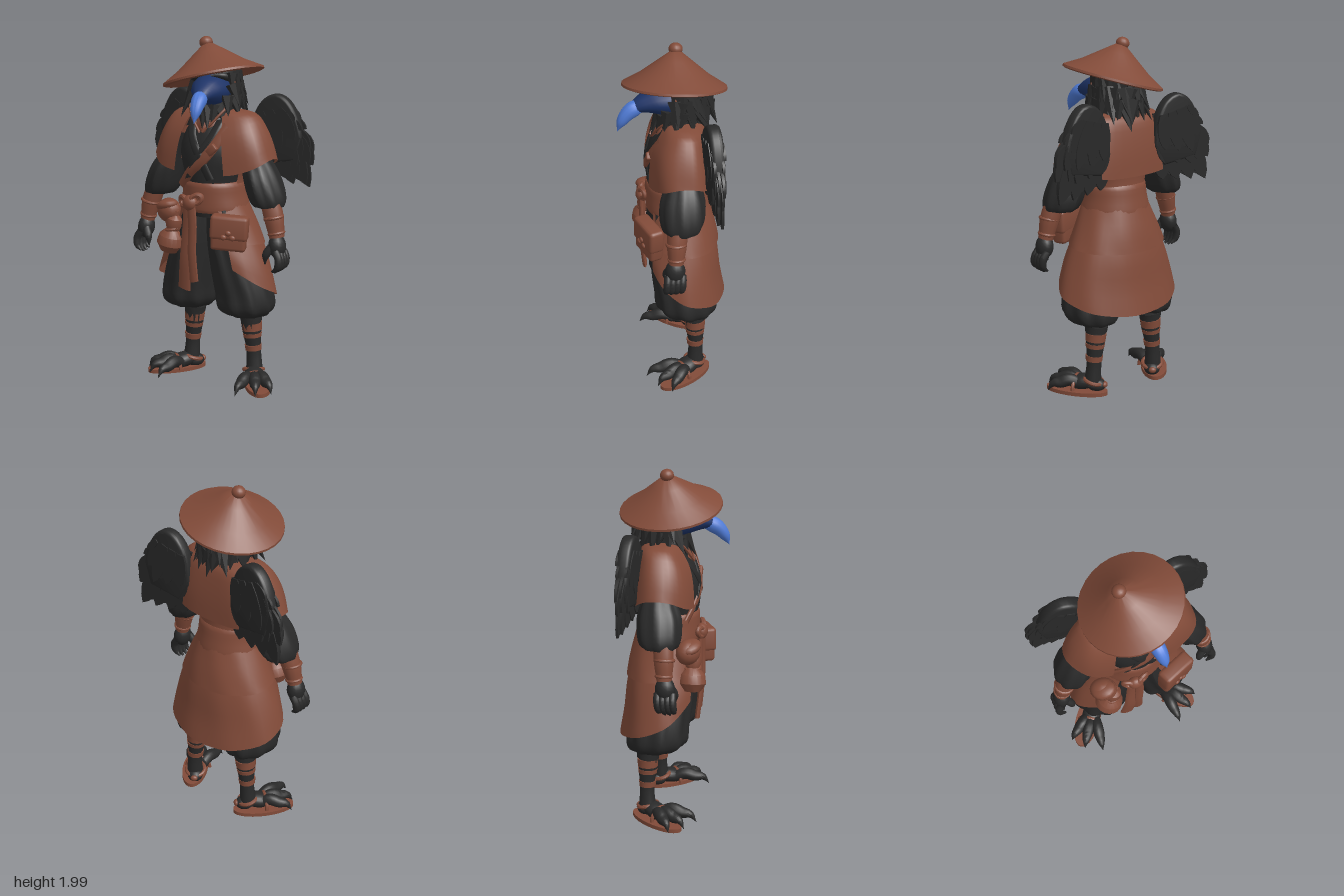
import * as THREE from 'three';
import { toCreasedNormals } from 'three/addons/utils/BufferGeometryUtils.js';
import { RoundedBoxGeometry } from 'three/addons/geometries/RoundedBoxGeometry.js';
import { ParametricGeometry } from 'three/addons/geometries/ParametricGeometry.js';

const flat = (name, color) => {
  const m = new THREE.MeshStandardMaterial({ color, side: THREE.DoubleSide });
  m.name = name;
  return m;
};
const V = (p) => new THREE.Vector3(...p);

// Smooth interpolation along a list of number rows
function sample(S, t) {
  const n = S.length - 1, i = Math.min(n - 1, Math.floor(t * n)), f = t * n - i;
  return S[i].map((b, k) => {
    const a = S[Math.max(i - 1, 0)][k], c = S[i + 1][k], d = S[Math.min(i + 2, n)][k];
    return 0.5 * (2 * b + (c - a) * f + (2 * a - 5 * b + 4 * c - d) * f * f + (3 * b - a - 3 * c + d) * f * f * f);
  });
}

// Upright skin through rows [y, cx, cz, rx, rzFront, rzBack], bottom to top; angle 0 is the front
function loft(S, { open = 0, hem = () => 0, ripple = 0, folds = 9, segs = 36, power = 1 } = {}) {
  const round = (c) => Math.sign(c) * Math.abs(c) ** power;
  return new ParametricGeometry((u, v, p) => {
    const a = open + u * (Math.PI * 2 - open * 2);
    const [y, cx, cz, rx, rf, rb] = sample(S, v);
    const k = 1 + ripple * Math.sin(folds * a + v * 3);
    p.set(cx + round(Math.sin(a)) * rx * k, y + hem(a) * (1 - v), cz + round(Math.cos(a)) * (Math.cos(a) > 0 ? rf : rb) * k);
  }, segs, (S.length - 1) * 3);
}

// Round tube with changing radius
function taper(pts, radii, seg = 14, rad = 12) {
  const curve = new THREE.CatmullRomCurve3(pts.map(V));
  const g = new THREE.TubeGeometry(curve, seg, 1, rad), pos = g.attributes.position, p = new THREE.Vector3();
  for (let i = 0; i <= seg; i++) {
    const c = curve.getPointAt(i / seg), r = Math.max(0.001, sample(radii.map((x) => [x]), i / seg)[0]);
    for (let j = 0; j <= rad; j++) {
      const k = i * (rad + 1) + j;
      p.fromBufferAttribute(pos, k).sub(c).multiplyScalar(r).add(c);
      pos.setXYZ(k, p.x, p.y, p.z);
    }
  }
  return g;
}

// Cloth strip of oval section along a path, listed bottom to top
function strip(pts, w, thick) {
  const curve = new THREE.CatmullRomCurve3(pts.map(V)), wide = V(w);
  return new ParametricGeometry((u, v, p) => {
    const a = u * Math.PI * 2;
    p.copy(curve.getPoint(v)).addScaledVector(wide, Math.sin(a) / 2);
    p.z += Math.cos(a) * thick;
  }, 12, 12);
}

// Pointed feather hanging down from its root
function feather(w, L, depth = 0.014) {
  const s = new THREE.Shape();
  s.moveTo(-w * 0.3, 0);
  s.bezierCurveTo(-w * 0.75, -L * 0.4, -w * 0.6, -L * 0.85, 0, -L);
  s.bezierCurveTo(w * 0.6, -L * 0.8, w * 0.75, -L * 0.4, w * 0.3, 0);
  return new THREE.ExtrudeGeometry(s, { depth, bevelEnabled: false, curveSegments: 5 });
}

export function createModel() {
  const model = new THREE.Group();
  const brown = flat('brown cloth', 0x824b39), black = flat('black feather', 0x292929);
  const navy = flat('navy face', 0x1e3468), blue = flat('blue beak', 0x4f7bd6);
  const group = (name, pos = [0, 0, 0]) => {
    const g = new THREE.Group();
    g.name = name;
    g.position.set(...pos);
    model.add(g);
    return g;
  };
  const add = (name, geo, mat, pos = [0, 0, 0], rot = [0, 0, 0], scale = [1, 1, 1], parent = model) => {
    const m = new THREE.Mesh(toCreasedNormals(geo, 0.6), mat);
    m.name = name;
    m.position.set(...pos);
    m.rotation.set(...rot);
    m.scale.set(...scale);
    parent.add(m);
  };
  const into = (parent) => (name, geo, mat, pos, rot, scale) => add(name, geo, mat, pos, rot, scale, parent);
  const ball = () => new THREE.SphereGeometry(1, 16, 12);

  // Tilted straw hat
  const hat = group('hat', [0, 1.775, -0.01]);
  hat.rotation.set(-0.07, 0, 0.26);
  const brim = [[0.001, 0.165], [0.27, -0.012], [0.285, -0.006], [0.283, 0.006], [0.19, 0.06], [0.09, 0.135], [0.03, 0.18], [0.001, 0.185]];
  into(hat)('hatCone', new THREE.LatheGeometry(brim.map((p) => new THREE.Vector2(...p)), 30), brown);
  into(hat)('hatKnob', ball(), brown, [-0.008, 0.192, 0], [0, 0, 0], [0.038, 0.034, 0.038]);

  // Head, turned slightly to its left: broad navy face running into a short hooked beak
  const head = group('head', [0, 1.7, 0]);
  head.rotation.y = 0.25;
  const h = into(head);
  h('skull', ball(), black, [0, 0.03, -0.075], [0, 0, 0], [0.125, 0.12, 0.125]);
  h('face', taper([[0, 0.005, -0.03], [0, 0.005, 0.04], [0, 0.003, 0.115], [0, -0.012, 0.185], [0, -0.035, 0.23]], [0.104, 0.104, 0.086, 0.057, 0.03], 16, 14), navy, [0, 0, 0], [0, 0, 0], [1.05, 0.85, 1]);
  h('beak', taper([[0, -0.015, 0.165], [0, -0.025, 0.215], [0, -0.05, 0.255], [0, -0.09, 0.288], [0, -0.145, 0.315]], [0.03, 0.044, 0.039, 0.027, 0.001], 16, 14), blue, [0, 0, 0], [0, 0, 0], [0.95, 1, 1]);
  for (const s of [-1, 1]) {
    h('brow', taper([[s * 0.02, 0.09, 0.09], [s * 0.08, 0.085, 0.05], [s * 0.115, 0.06, -0.02]], [0.004, 0.02, 0.02]), black);
    add('chinCord', taper([[s * 0.13, 1.8, 0], [s * 0.145, 1.68, 0.0], [s * 0.09, 1.57, 0.08], [s * 0.01, 1.48, 0.12]], [0.007, 0.007, 0.007, 0.007], 12, 6), brown);
  }
  add('neck', loft([[1.45, 0, -0.03, 0.11, 0.1, 0.12], [1.56, 0, -0.02, 0.1, 0.09, 0.13], [1.68, 0, -0.03, 0.11, 0.09, 0.14]]), black);
  add('neckWrap', loft([[1.45, 0, -0.02, 0.1, 0.13, 0.1], [1.51, 0, -0.02, 0.095, 0.125, 0.1], [1.56, 0, -0.02, 0.085, 0.1, 0.1]], { ripple: 0.03 }), brown);

  // Ragged neck feathers in rings, thicker at the back
  const ruff = into(group('neckRuff'));
  [[1.78, 0.125, 1.45, 14], [1.72, 0.135, 1.4, 14], [1.66, 0.14, 1.1, 15], [1.61, 0.105, 0.1, 16]].forEach(([y, r, open, n], row) => {
    for (let i = 0; i < n; i++) {
      const a = open + (i / (n - 1)) * (Math.PI * 2 - open * 2), odd = ((i * 7 + row * 3) % 5) / 4;
      const L = 0.1 + 0.05 * odd, back = 1 + 0.3 * Math.max(0, -Math.cos(a));
      const g = new THREE.ConeGeometry(0.045, L, 6);
      g.rotateX(Math.PI).scale(1, 1, 0.6).translate(0, -L * 0.35, 0).rotateZ((odd - 0.5) * 0.5).rotateX(-0.2 - odd * 0.2).rotateY(a);
      ruff('ruffFeather', g, black, [Math.sin(a) * r, y, Math.cos(a) * r * back - 0.025]);
    }
  });

  // Torso, vest, shoulder cape
  add('shirt', loft([[1, 0, -0.03, 0.16, 0.15, 0.14], [1.17, 0, -0.03, 0.155, 0.17, 0.13], [1.35, 0, -0.03, 0.2, 0.18, 0.14], [1.48, 0, -0.04, 0.17, 0.15, 0.13], [1.59, 0, -0.03, 0.08, 0.07, 0.09]]), black);
  add('vestBack', loft([[1.05, 0, -0.03, 0.2, 0.16, 0.175], [1.2, 0, -0.03, 0.175, 0.16, 0.15], [1.35, 0, -0.03, 0.22, 0.17, 0.16], [1.48, 0, -0.03, 0.2, 0.14, 0.14]], { open: 1.3 }), brown);
  add('shoulderCape', loft([[1.25, 0, -0.03, 0.375, 0.185, 0.18], [1.36, 0, -0.03, 0.345, 0.18, 0.175], [1.47, 0, -0.035, 0.3, 0.16, 0.155], [1.56, 0, -0.04, 0.235, 0.11, 0.125], [1.6, 0, -0.03, 0.09, 0.06, 0.08]], { open: 0.36, hem: (a) => 0.09 * Math.abs(Math.sin(a)) ** 3, ripple: 0.012, folds: 7, power: 0.8 }), brown);
  for (const s of [-1, 1])
    add('lapel', strip([[-s * 0.07, 1.22, 0.135], [0, 1.36, 0.15], [s * 0.06, 1.46, 0.115], [s * 0.09, 1.55, 0.06]], [0.05, 0.015, 0], 0.008), black);
  add('chestStrap', strip([[-0.14, 1.16, 0.095], [-0.06, 1.25, 0.135], [0.03, 1.33, 0.148], [0.1, 1.42, 0.125], [0.15, 1.52, 0.075]], [0.045, -0.04, 0], 0.014), brown);
  add('strapBuckle', new RoundedBoxGeometry(0.07, 0.045, 0.03, 2, 0.01), brown, [0.085, 1.39, 0.14], [0, 0, 0.8]);

  // Belt and open skirt in two tiers
  add('belt', loft([[1.03, 0, -0.03, 0.198, 0.178, 0.178], [1.05, 0, -0.03, 0.2, 0.183, 0.18], [1.12, 0, -0.03, 0.185, 0.183, 0.168], [1.19, 0, -0.03, 0.176, 0.18, 0.157], [1.2, 0, -0.03, 0.15, 0.16, 0.14]]), brown);
  add('lowerSkirt', loft([[0.58, 0, -0.05, 0.375, 0.225, 0.25], [0.7, 0, -0.05, 0.342, 0.225, 0.222], [0.85, 0, -0.05, 0.285, 0.21, 0.2], [1.07, 0, -0.03, 0.185, 0.165, 0.155]], { open: 0.62, hem: (a) => 0.1 * Math.cos(a) + 0.12 * Math.max(0, Math.cos(a)) ** 3, ripple: 0.008 }), brown);
  add('upperSkirt', loft([[0.85, 0, -0.05, 0.295, 0.225, 0.21], [0.95, 0, -0.045, 0.25, 0.205, 0.195], [1.07, 0, -0.03, 0.195, 0.175, 0.175]], { open: 0.58, hem: (a) => 0.02 * Math.cos(a), ripple: 0.008 }), brown);

  // Knotted sash with hanging tails
  add('sashKnot', ball(), brown, [-0.04, 1.085, 0.17], [0, 0, 0.3], [0.045, 0.045, 0.035]);
  for (const s of [-1, 1])
    add('sashLoop', new THREE.TorusGeometry(0.026, 0.015, 8, 14), brown, [-0.04 + s * 0.04, 1.1 + s * 0.01, 0.17], [0, s * 0.4, s * 0.5], [1.2, 0.9, 1]);
  add('longTail', strip([[-0.09, 0.58, 0.155], [-0.07, 0.75, 0.17], [-0.055, 0.93, 0.165], [-0.045, 1.09, 0.165]], [0.08, -0.02, 0], 0.014), brown);
  add('shortTail', strip([[-0.02, 0.63, 0.16], [-0.025, 0.8, 0.175], [-0.02, 0.95, 0.175], [-0.03, 1.09, 0.175]], [0.055, 0.015, 0], 0.014), brown);

  // Satchel on the left hip
  const satchel = group('satchel', [0.205, 0.94, 0.15]);
  satchel.rotation.set(0, 0.4, -0.06);
  const bag = into(satchel);
  bag('satchelBody', new RoundedBoxGeometry(0.195, 0.19, 0.08, 2, 0.02), brown);
  bag('satchelFlap', new RoundedBoxGeometry(0.21, 0.135, 0.09, 2, 0.02), brown, [0, 0.035, 0.004]);
  [[-0.025, -0.005], [0.025, -0.005], [0, 0.02]].forEach(([x, y]) =>
    bag('toggleBead', ball(), brown, [x, y - 0.01, 0.05], [0, 0, 0], [0.017, 0.015, 0.01]));

  // Pouch and gourd on the right hip
  add('pouch', ball(), brown, [-0.215, 1.015, 0.12], [0, -0.4, 0.2], [0.078, 0.07, 0.065]);
  add('pouchFlap', ball(), brown, [-0.22, 1.045, 0.13], [0, -0.4, 0.3], [0.072, 0.035, 0.06]);
  const gourd = [[0.001, -0.07], [0.045, -0.062], [0.073, -0.02], [0.066, 0.025], [0.035, 0.06], [0.045, 0.09], [0.04, 0.12], [0.016, 0.14], [0.014, 0.165], [0.001, 0.167]];
  add('gourd', new THREE.LatheGeometry(gourd.map((p) => new THREE.Vector2(...p)), 18), brown, [-0.19, 0.85, 0.14], [0, 0, -0.22], [1.08, 1.08, 1.08]);
  add('gourdCord', new THREE.TorusGeometry(0.04, 0.009, 8, 16), brown, [-0.176, 0.914, 0.14], [Math.PI / 2, 0.22, 0]);

  for (const s of [-1, 1]) {
    const side = s > 0 ? 'left' : 'right';
    // Baggy trousers
    add(side + 'Trouser', loft([[0.45, s * 0.2, -0.1, 0.04, 0.04, 0.04], [0.42, s * 0.195, -0.085, 0.1, 0.11, 0.12], [0.47, s * 0.188, -0.06, 0.158, 0.165, 0.17], [0.56, s * 0.18, -0.05, 0.16, 0.165, 0.17], [0.7, s * 0.15, -0.04, 0.145, 0.17, 0.15], [0.88, s * 0.11, -0.03, 0.12, 0.165, 0.13], [1.05, s * 0.085, -0.03, 0.1, 0.15, 0.12]], { ripple: 0.045, folds: 9, segs: 48 }), black);

    // Wrapped shins
    const leg = into(group(side + 'Shin'));
    leg('shin', taper([[s * 0.19, 0.46, -0.1], [s * 0.197, 0.33, -0.11], [s * 0.21, 0.2, -0.115], [s * 0.22, 0.05, -0.11]], [0.062, 0.056, 0.042, 0.05]), black);
    [[0.385, 0.066, 0.035, black], [0.335, 0.061, 0.045, brown], [0.285, 0.056, 0.024, brown], [0.21, 0.05, 0.032, brown]].forEach(([y, r, len, m]) =>
      leg('legWrap', new THREE.CylinderGeometry(r, r * 0.94, len, 16), m, [s * (0.228 - y * 0.09), y, -0.112], [0, 0, s * 0.09]));

    // Clawed foot on a broad oval sandal
    const footGroup = group(side + 'Foot', [s * 0.22, 0, -0.1]);
    footGroup.rotation.y = s * 0.62;
    const foot = into(footGroup);
    const sole = new THREE.Shape();
    sole.absellipse(0, 0, 0.076, 0.182, 0, Math.PI * 2);
    foot('sandal', new THREE.ExtrudeGeometry(sole, { depth: 0.022, bevelEnabled: false, curveSegments: 14 }), brown, [s * 0.018, 0.024, 0.08], [Math.PI / 2, 0, 0]);
    foot('instep', ball(), black, [0, 0.06, 0.05], [0.2, 0, 0], [0.058, 0.045, 0.09]);
    foot('heel', ball(), black, [0, 0.05, -0.03], [0, 0, 0], [0.047, 0.04, 0.055]);
    for (const [a, len] of [[-0.5, 0.265], [-0.05, 0.245], [0.36, 0.23]]) {
      const at = (d, y) => [s * Math.sin(a) * d * len, y, 0.02 + Math.cos(a) * d * len];
      foot('toe', taper([at(0.2, 0.05), at(0.46, 0.075), at(0.68, 0.06), at(0.86, 0.055), at(1, 0.012)], [0.032, 0.035, 0.034, 0.022, 0.001]), black);
    }
    foot('toeStrap', new THREE.TorusGeometry(0.07, 0.011, 8, 16, Math.PI), brown, [0, 0.022, 0.09]);
    foot('ankleStrap', new THREE.TorusGeometry(0.055, 0.012, 8, 18), brown, [0, 0.075, -0.012], [Math.PI / 2 - 0.3, 0, 0]);
    foot('heelKnot', ball(), brown, [0, 0.055, -0.08], [0, 0, 0], [0.022, 0.018, 0.016]);

    // Puffed sleeve, forearm guard and hand
    add(side + 'Sleeve', loft([[1.11, s * 0.375, 0, 0.04, 0.04, 0.04], [1.085, s * 0.365, -0.01, 0.08, 0.09, 0.095], [1.14, s * 0.345, -0.015, 0.1, 0.115, 0.12], [1.24, s * 0.31, -0.02, 0.095, 0.115, 0.12], [1.33, s * 0.265, -0.03, 0.08, 0.09, 0.09], [1.45, s * 0.18, -0.03, 0.05, 0.07, 0.07]], { ripple: 0.04, folds: 8 }), black);
    const arm = into(group(side + 'Forearm'));
    arm('forearm', taper([[s * 0.38, 1.12, 0.01], [s * 0.41, 1.03, 0.018], [s * 0.435, 0.92, 0.025]], [0.055, 0.054, 0.042]), brown);
    for (const [x, y, r] of [[0.412, 1.03, 0.049], [0.43, 0.945, 0.04]])
      arm('cuff', new THREE.TorusGeometry(r, 0.01, 8, 18), brown, [s * x, y, 0.022], [Math.PI / 2, s * 0.22, 0]);
    const hand = into(group(side + 'Hand', [s * 0.44, 0.875, 0.03]));
    hand('palm', ball(), black, [0, 0, 0], [0, 0, s * 0.1], [0.048, 0.068, 0.055]);
    for (let i = 0; i < 4; i++) {
      const z = -0.04 + i * 0.027;
      hand('finger', taper([[s * 0.01, -0.02, z], [s * 0.035, -0.065, z + 0.004], [s * 0.03, -0.11, z + 0.01], [0, -0.15 + Math.abs(i - 1.5) * 0.01, z + 0.014]], [0.021, 0.022, 0.02, 0.006], 10, 11), black);
    }
    hand('thumb', taper([[-s * 0.02, 0, 0.03], [-s * 0.045, -0.05, 0.045], [-s * 0.05, -0.1, 0.045]], [0.022, 0.022, 0.004], 10, 11), black);

    // Wing: thick padded shoulder with fanned rows of feathers on both faces
    const wing = into(group(side + 'Wing'));
    const pad = new THREE.Shape();
    pad.moveTo(s * 0.17, 1.4);
    pad.bezierCurveTo(s * 0.17, 1.56, s * 0.23, 1.66, s * 0.31, 1.665);
    pad.bezierCurveTo(s * 0.38, 1.66, s * 0.43, 1.57, s * 0.455, 1.45);
    pad.lineTo(s * 0.42, 1.33);
    pad.lineTo(s * 0.23, 1.3);
    wing('wingPad', new THREE.ExtrudeGeometry(pad, { depth: 0.03, bevelThickness: 0.02, bevelSize: 0.016, bevelSegments: 3 }), black, [0, 0, -0.165], [0, s * 0.1, 0]);
    const rows = [[9, 0, 0.1, -0.012], [9, 0.02, 0.095, 0.008], [8, 0.1, 0.085, -0.026], [8, 0.1, 0.085, 0.02], [7, 0.18, 0.075, -0.034], [7, 0.18, 0.075, 0.028]];
    rows.forEach(([n, lift, w, dz]) => {
      for (let i = 0; i < n; i++) {
        const t = i / (n - 1), rx = 0.2 + (0.225 - 0.35 * lift) * t, ry = 1.4 + 0.08 * t + lift * (0.95 - 0.25 * t);
        const tx = 0.215 + (0.31 - 0.5 * lift) * Math.min(1, t * 1.25);
        const ty = 1.2 - 0.04 * t + 0.025 * (i % 2) + Math.max(0, t - 0.75) * 0.85 + lift * 0.95;
        const L = Math.hypot(tx - rx, ty - ry);
        wing('wingFeather', feather(w * Math.min(1, L / 0.2), L), black, [s * rx, ry, -0.157 - rx * 0.1 + dz + (i % 2) * 0.005], [0, s * 0.1, s * Math.atan2(tx - rx, ry - ty)]);
      }
    });
  }
  return model;
}
